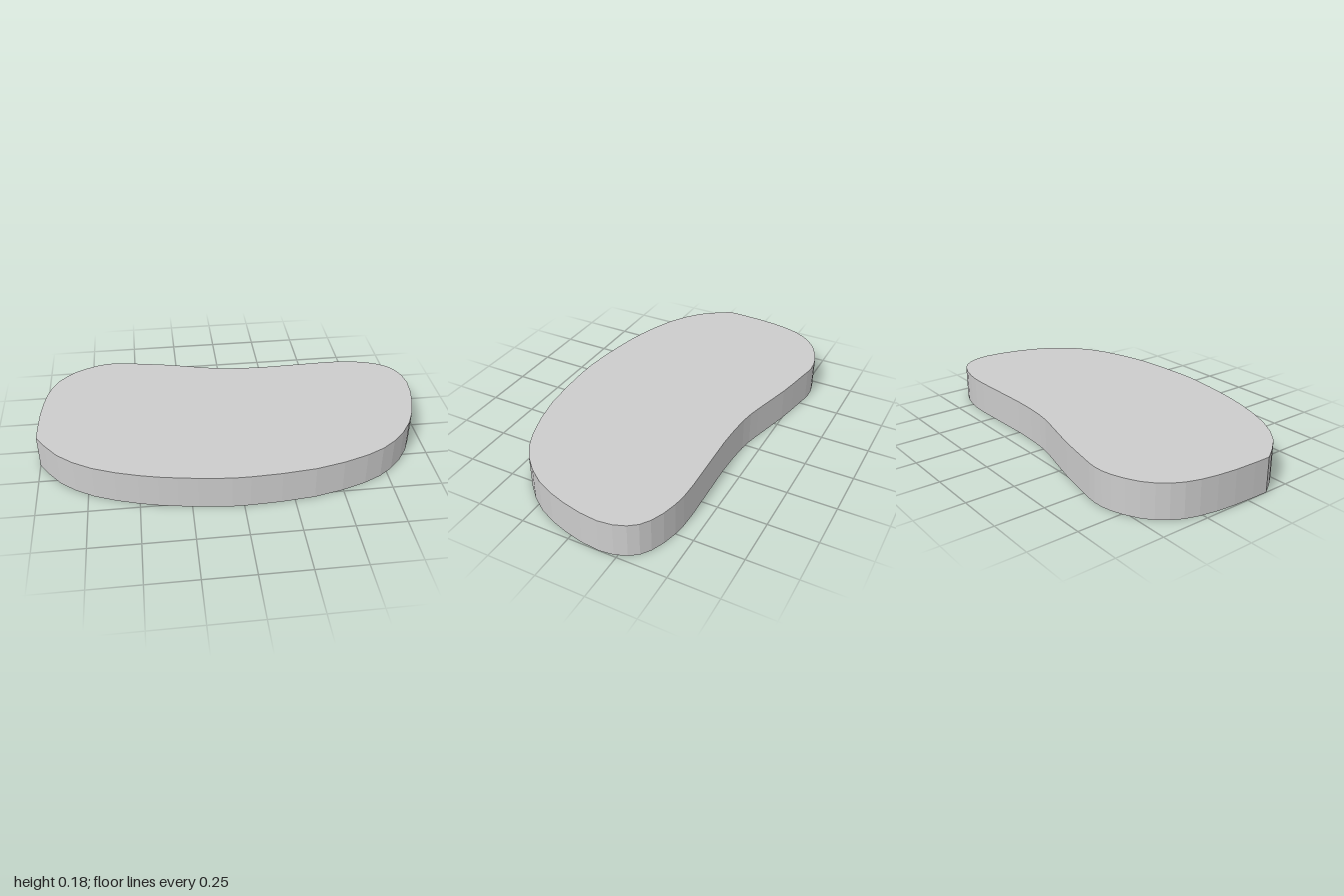
import * as THREE from 'three';

const HEIGHT = 0.177;

// Kidney-shaped outline as (x, z), from the one sharp corner all the way round
const OUTLINE = [
  [-1, 0.12], [-0.89, 0.275], [-0.72, 0.395], [-0.5, 0.475], [-0.315, 0.515],
  [-0.13, 0.54], [0.03, 0.548], [0.35, 0.525], [0.62, 0.45], [0.78, 0.355],
  [0.9, 0.21], [0.97, 0.03], [1, -0.16], [0.968, -0.29], [0.89, -0.365],
  [0.75, -0.41], [0.595, -0.42], [0.245, -0.41], [0.03, -0.42], [-0.1, -0.445],
  [-0.315, -0.5], [-0.5, -0.535], [-0.6, -0.55], [-0.7, -0.537], [-0.825, -0.48],
  [-0.915, -0.39], [-0.968, -0.265], [-0.995, -0.08], [-1, 0.12],
];

export function createModel() {
  const model = new THREE.Group();
  model.name = 'kidneySlab';

  // An open spline keeps the corner sharp; shape y is -z
  const curve = new THREE.SplineCurve(OUTLINE.map(([x, z]) => new THREE.Vector2(x, -z)));
  const shape = new THREE.Shape(curve.getPoints(56).slice(0, -1));

  // Flat slab with straight, lightly faceted walls
  const geometry = new THREE.ExtrudeGeometry(shape, { depth: HEIGHT, bevelEnabled: false });
  geometry.rotateX(-Math.PI / 2);

  const slab = new THREE.Mesh(
    geometry,
    new THREE.MeshStandardMaterial({ color: 0xcccccc, flatShading: true }),
  );
  slab.name = 'slab';
  model.add(slab);
  return model;
}
